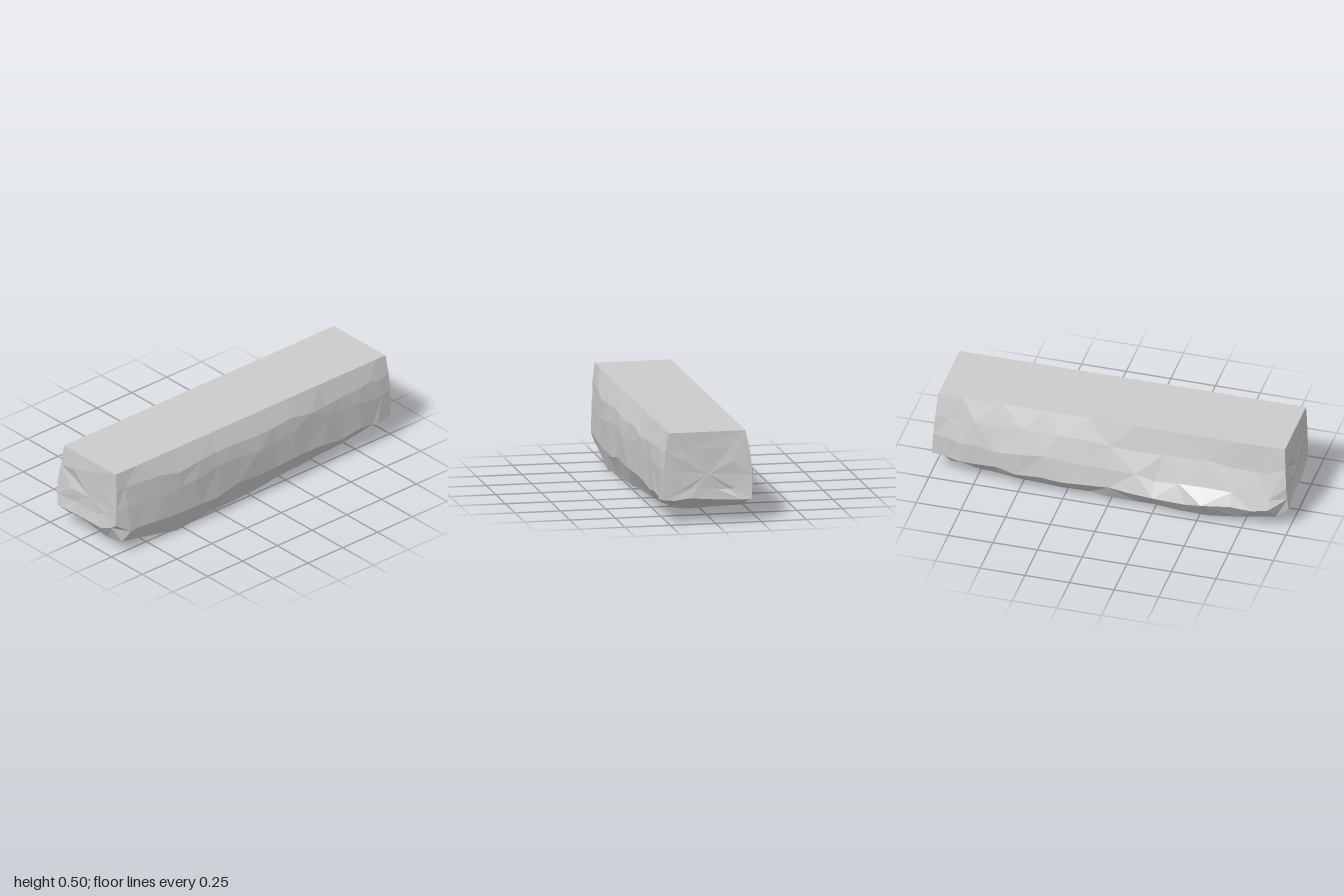
import * as THREE from 'three';

// Key cross-sections, front to back: x, y pairs going down the left (+x) side,
// along the underside and up the right (-x) side. The top edges are constant.
const KEY_Z = [0.97, 0.91, 0.55, 0, -0.5, -0.9, -0.97];
const KEYS = [
  [.261, .4, .262, .28, .26, .19, .23, .165, .14, .127, -.05, .125, -.19, .13, -.2, .2, -.205, .27, -.185, .38],
  [.272, .4, .28, .28, .287, .145, .262, .07, .14, .045, -.03, .055, -.19, .06, -.25, .135, -.23, .2, -.195, .34],
  [.3, .39, .308, .28, .305, .13, .268, .003, .14, .01, -.05, .014, -.23, .03, -.31, .14, -.25, .21, -.197, .35],
  [.297, .39, .31, .31, .302, .14, .25, .025, .14, .012, -.05, .012, -.21, .04, -.27, .13, -.252, .23, -.21, .37],
  [.29, .39, .295, .3, .293, .14, .24, .05, .14, .03, -.05, .03, -.2, .05, -.263, .13, -.262, .25, -.222, .38],
  [.283, .39, .29, .29, .288, .13, .23, .09, .14, .07, -.05, .075, -.17, .08, -.225, .13, -.232, .25, -.205, .38],
  [.27, .4, .28, .3, .28, .135, .22, .13, .14, .14, -.05, .125, -.15, .125, -.2, .13, -.205, .26, -.195, .38],
];
const ROW_Z = [.97, .91, .83, .7, .55, .42, .28, .14, 0, -.13, -.26, -.38, -.5, -.62, -.74, -.83, -.9, -.97];

function seeded(seed) {
  return () => {
    seed = (seed * 16807) % 2147483647;
    return seed / 1073741823.5 - 1;
  };
}

// Blend the key sections at one distance along the block
function sectionAt(z, rand) {
  let k = 0;
  while (k < KEY_Z.length - 2 && z < KEY_Z[k + 1]) k++;
  const t = (KEY_Z[k] - z) / (KEY_Z[k] - KEY_Z[k + 1]);
  const end = Math.abs(z) > 0.96;
  const row = [new THREE.Vector3(0.25, 0.5, z)];
  for (let i = 0; i < 20; i += 2) {
    const x = THREE.MathUtils.lerp(KEYS[k][i], KEYS[k + 1][i], t);
    const y = THREE.MathUtils.lerp(KEYS[k][i + 1], KEYS[k + 1][i + 1], t);
    const p = new THREE.Vector3(x, y, z);
    if (end) {
      // the ends lean outward toward the lower right
      p.z += Math.sign(z) * (0.5 - y) * (x < -0.1 ? 0.075 : 0.03);
    } else {
      // chipped surface
      const side = x < -0.15 ? 0.007 : 0.004;
      p.x += rand() * side - side * 0.4 * Math.sign(x);
      p.y = Math.max(0, p.y + rand() * (y < 0.09 ? 0.005 : 0.016));
      p.z += rand() * 0.025;
    }
    row.push(p);
  }
  row.push(new THREE.Vector3(-0.17, 0.5, z));
  return row;
}

// Shrink an end section toward its middle for the rough end faces
function insetRow(row, scale, rough, rand) {
  const s = Math.sign(row[0].z);
  const cx = 0.035, cy = 0.27;
  return row.map((p) => new THREE.Vector3(
    cx + (p.x - cx) * scale, cy + (p.y - cy) * scale,
    s * (0.973 + rand() * rough)));
}

function rockGeometry() {
  const rand = seeded(4711);
  const body = ROW_Z.map((z) => sectionAt(z, rand));
  const front = body[0], back = body[body.length - 1];
  const rows = [
    insetRow(front, 0, 0.004, rand), insetRow(front, 0.55, 0.009, rand),
    ...body,
    insetRow(back, 0.6, 0.009, rand), insetRow(back, 0, 0.004, rand),
  ];
  const pos = [];
  const tri = (a, b, c) => {
    const n = b.clone().sub(a).cross(c.clone().sub(a));
    if (n.length() > 1e-8) pos.push(...a, ...b, ...c);
  };
  for (let i = 0; i < rows.length - 1; i++) {
    const r = rows[i], q = rows[i + 1], n = r.length;
    for (let j = 0; j < n; j++) {
      const k = (j + 1) % n;
      // alternate the diagonal so the facets look broken
      if ((i + j) % 2) {
        tri(r[j], r[k], q[j]);
        tri(r[k], q[k], q[j]);
      } else {
        tri(r[j], r[k], q[k]);
        tri(r[j], q[k], q[j]);
      }
    }
  }
  const geo = new THREE.BufferGeometry();
  geo.setAttribute('position', new THREE.Float32BufferAttribute(pos, 3));
  geo.computeVertexNormals();
  return geo;
}

export function createModel() {
  const group = new THREE.Group();
  group.name = 'rockLedge';
  const rock = new THREE.Mesh(rockGeometry(),
    new THREE.MeshStandardMaterial({ color: 0xcccccc, flatShading: true }));
  rock.name = 'rockBlock';
  group.add(rock);
  return group;
}
